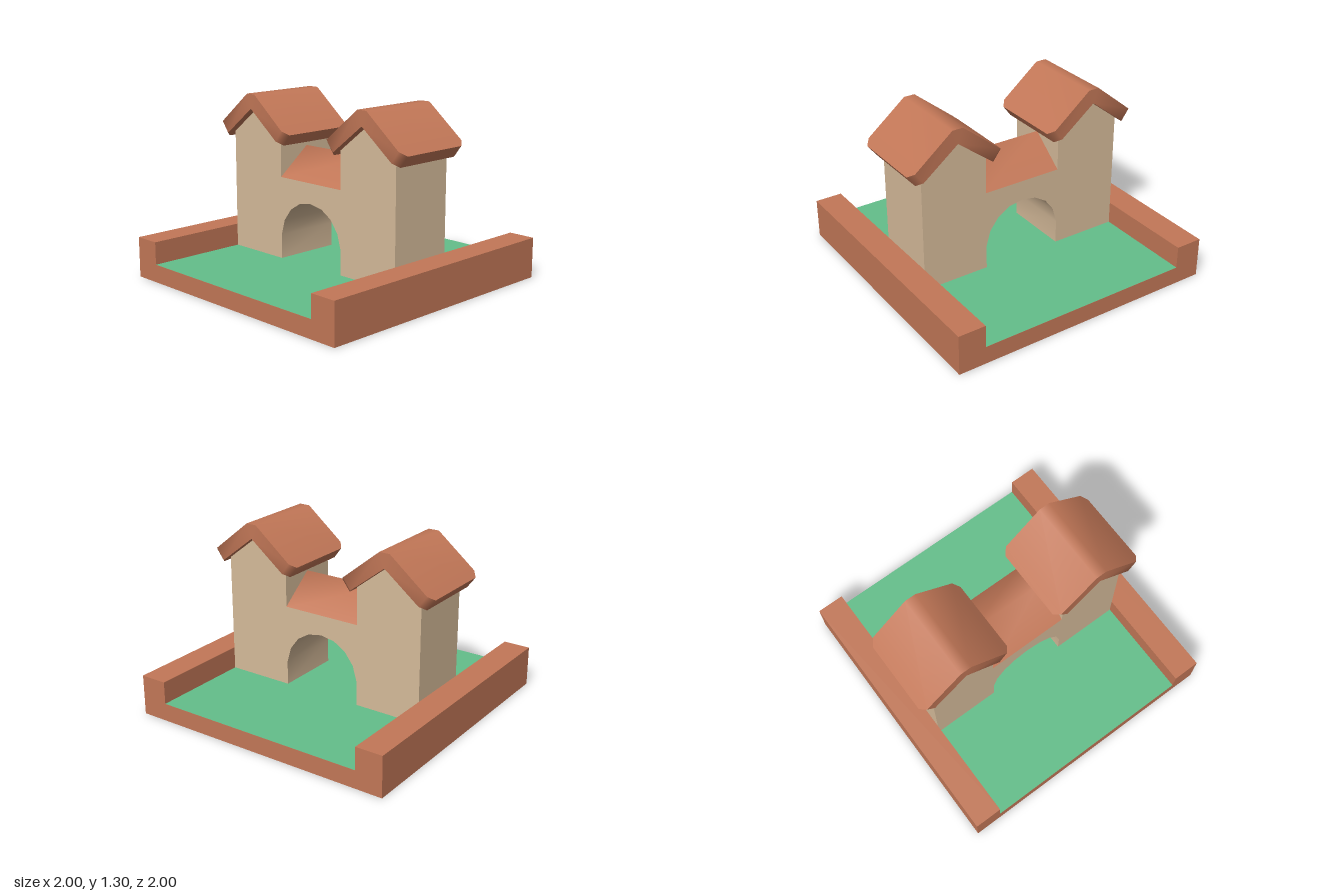
import * as THREE from 'three';
import { toCreasedNormals } from 'three/addons/utils/BufferGeometryUtils.js';

const flat = (name, color) => {
  const m = new THREE.MeshStandardMaterial({ color });
  m.name = name;
  return m;
};

// Prism from an outline in x/y, centred on z
function prism(points, depth, crease) {
  const shape = new THREE.Shape(points.map(([x, y]) => new THREE.Vector2(x, y)));
  const geo = new THREE.ExtrudeGeometry(shape, { depth, bevelEnabled: false });
  geo.translate(0, 0, -depth / 2);
  return toCreasedNormals(geo, crease);
}

// Outline mirrored across x = 0 from its right half
const mirrored = half => [...half, ...half.map(([x, y]) => [-x, y]).reverse()];

// Gable roof lofted through cross-sections from eave to eave
function gableRoof() {
  // top x, top y, underside x, underside y, half depth
  const half = [
    [0.36, 1.045, 0.30, 0.965, 0.265],
    [0.323, 1.075, 0.263, 0.994, 0.31],
    [0.04, 1.305, 0.002, 1.198, 0.31],
  ];
  const sections = [
    ...half.map(([tx, ty, bx, by, d]) => [-tx, ty, -bx, by, d]),
    ...half.slice().reverse(),
  ];
  const pos = [], idx = [];
  for (const [tx, ty, bx, by, d] of sections) {
    pos.push(tx, ty, d, tx, ty, -d, bx, by, -d, bx, by, d);
  }
  const last = (sections.length - 1) * 4;
  for (let i = 0; i < last; i += 4) {
    for (let k = 0; k < 4; k++) {
      const n = (k + 1) % 4;
      idx.push(i + k, i + 4 + k, i + 4 + n, i + k, i + 4 + n, i + n);
    }
  }
  idx.push(0, 1, 2, 0, 2, 3, last, last + 2, last + 1, last, last + 3, last + 2);
  const geo = new THREE.BufferGeometry();
  geo.setAttribute('position', new THREE.Float32BufferAttribute(pos, 3));
  geo.setIndex(idx);
  return toCreasedNormals(geo, 1.0);
}

export function createModel() {
  const terracotta = flat('terracotta', 0xc27757);
  const sand = flat('sand stone', 0xd6bb9a);
  const grass = flat('grass green', 0x63be8a);

  const model = new THREE.Group();
  model.name = 'gatehouse';
  const add = (name, geo, mat) => {
    const mesh = new THREE.Mesh(geo, mat);
    mesh.name = name;
    model.add(mesh);
    return mesh;
  };

  // Base slab with a raised curb along both sides
  add('base', prism(mirrored([[0.8, 0.13], [0.8, 0.295], [1, 0.295], [1, 0]].reverse()), 2, 0.5), terracotta);

  // Lawn between the curbs
  const lawn = new THREE.PlaneGeometry(1.6, 2);
  lawn.rotateX(-Math.PI / 2);
  add('lawn', lawn, grass).position.y = 0.131;

  // Two gabled towers joined by an arched wall
  const wall = mirrored([
    [0.11, 0.563], [0.2, 0.508], [0.267, 0.42], [0.3, 0.305],
    [0.3, 0.13], [0.8, 0.13], [0.8, 1.003], [0.55, 1.198], [0.3, 1.003], [0.3, 0.73],
  ]);
  wall.push([0, 0.583]);
  add('towersAndArch', prism(wall, 0.5, 0.5), sand);

  // Tower roofs
  const roof = gableRoof();
  for (const [name, x] of [['leftTowerRoof', 0.55], ['rightTowerRoof', -0.55]]) {
    add(name, roof, terracotta).position.x = x;
  }

  // Low ridged roof over the arch
  const bridge = prism([[-0.25, 0.73], [0.25, 0.73], [0, 0.93]], 0.6, 1.45);
  bridge.rotateY(Math.PI / 2);
  add('archRoof', bridge, terracotta);

  return model;
}
